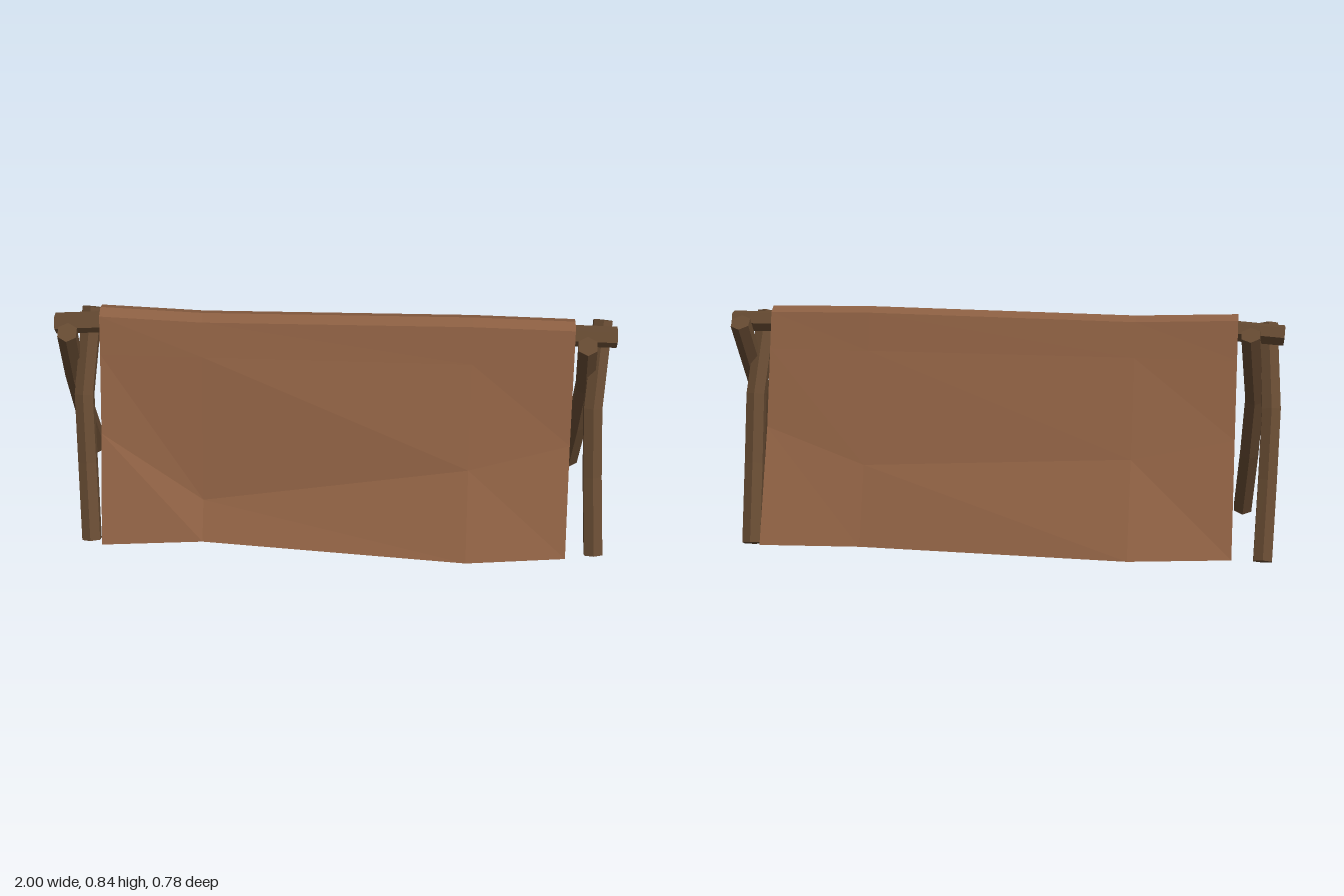
import * as THREE from 'three';

const cloth = new THREE.MeshStandardMaterial({ color: 0x8c5f42 });
cloth.name = 'hide cloth';
const wood = new THREE.MeshStandardMaterial({ color: 0x644931 });
wood.name = 'dark wood';

// Flat-shaded solid through rings of points, each ring counterclockwise about the sweep direction.
function loft(rings) {
  const pos = [];
  const quad = (a, b, c, d) => [a, b, c, a, c, d].forEach((p) => pos.push(p.x, p.y, p.z));
  const n = rings[0].length;
  for (let r = 0; r < rings.length - 1; r++) {
    for (let i = 0; i < n; i++) {
      const j = (i + 1) % n;
      quad(rings[r][i], rings[r][j], rings[r + 1][j], rings[r + 1][i]);
    }
  }
  // End caps: strips between the two halves of the ring
  const first = rings[0], last = rings[rings.length - 1];
  for (let i = 0; i < n / 2 - 1; i++) {
    quad(last[i], last[i + 1], last[n - 2 - i], last[n - 1 - i]);
    quad(first[n - 1 - i], first[n - 2 - i], first[i + 1], first[i]);
  }
  const geo = new THREE.BufferGeometry();
  geo.setAttribute('position', new THREE.Float32BufferAttribute(pos, 3));
  geo.computeVertexNormals();
  return geo;
}

// Bent six-sided pole along a path; a flat side faces the "flat" direction.
function pole(name, path, radius, flat) {
  const pts = path.map((p) => new THREE.Vector3(...p));
  const rings = pts.map((p, k) => {
    const t = pts[Math.min(k + 1, pts.length - 1)].clone().sub(pts[Math.max(k - 1, 0)]).normalize();
    const v = t.clone().cross(flat).normalize();
    const u = v.clone().cross(t);
    return Array.from({ length: 6 }, (_, i) => {
      const a = (i + 0.5) * Math.PI / 3;
      return p.clone().addScaledVector(u, radius * Math.cos(a)).addScaledVector(v, radius * Math.sin(a));
    });
  });
  const mesh = new THREE.Mesh(loft(rings), wood);
  mesh.name = name;
  return mesh;
}

// Draped cover: each column holds x, ridge height, and [z, y] of hem and knee on both sides.
function cover() {
  const columns = [
    { x: -0.835, top: 0.85, front: [[0.345, 0.042], [0.175, 0.42]], back: [[0.34, 0.042], [0.17, 0.43]] },
    { x: -0.47, top: 0.836, front: [[0.31, 0.042], [0.225, 0.17]], back: [[0.393, 0.042], [0.21, 0.36]] },
    { x: 0.49, top: 0.847, front: [[0.388, 0.042], [0.22, 0.335]], back: [[0.34, 0.042], [0.215, 0.31]] },
    { x: 0.85, top: 0.841, front: [[0.345, 0.042], [0.17, 0.42]], back: [[0.358, 0.042], [0.17, 0.43]] },
  ];
  const rings = columns.map(({ x, top, front, back }) => {
    const side = (s) => [...s, [0.08, 0.7], [0.04, top - 0.015]];
    const profile = [
      ...side(back).map(([z, y]) => [-z, y]),
      [0, top],
      ...side(front).reverse(),
    ];
    const outer = profile.map(([z, y]) => new THREE.Vector3(x, y, z));
    const inner = outer.map((p) => {
      const drop = p.y > 0.75 ? 0.013 : 0;
      return new THREE.Vector3(x, p.y - drop, p.z - Math.sign(p.z) * (p.y > 0.75 ? 0.006 : 0.015));
    }).reverse();
    return [...outer, ...inner];
  });
  const mesh = new THREE.Mesh(loft(rings), cloth);
  mesh.name = 'clothCover';
  return mesh;
}

export function createModel() {
  const group = new THREE.Group();
  group.name = 'tent';
  const X = new THREE.Vector3(1, 0, 0), Y = new THREE.Vector3(0, 1, 0);

  group.add(cover());
  group.add(pole('ridgePole',
    [[-1, 0.776, 0], [-0.8, 0.79, 0], [-0.47, 0.786, 0], [0.49, 0.79, 0], [0.85, 0.782, 0], [1, 0.78, 0]], 0.038, Y));

  // Crossed legs at both ends: [height, z, sideways bend]
  const legPath = [[0.024, 0.291, 0], [0.285, 0.165, -0.015], [0.52, 0.07, -0.025], [0.795, -0.087, 0]];
  for (const [end, frontX, backX, backBend] of [['left', 0.955, 0.892, -1], ['right', -0.88, -0.945, 1]]) {
    group.add(pole(end + 'FrontLeg', legPath.map(([y, z, b]) => [frontX + b, y, z]), 0.038, X));
    group.add(pole(end + 'BackLeg', legPath.map(([y, z, b]) => [backX + b * backBend * 0.7, y, -z]), 0.038, X));
  }
  return group;
}
